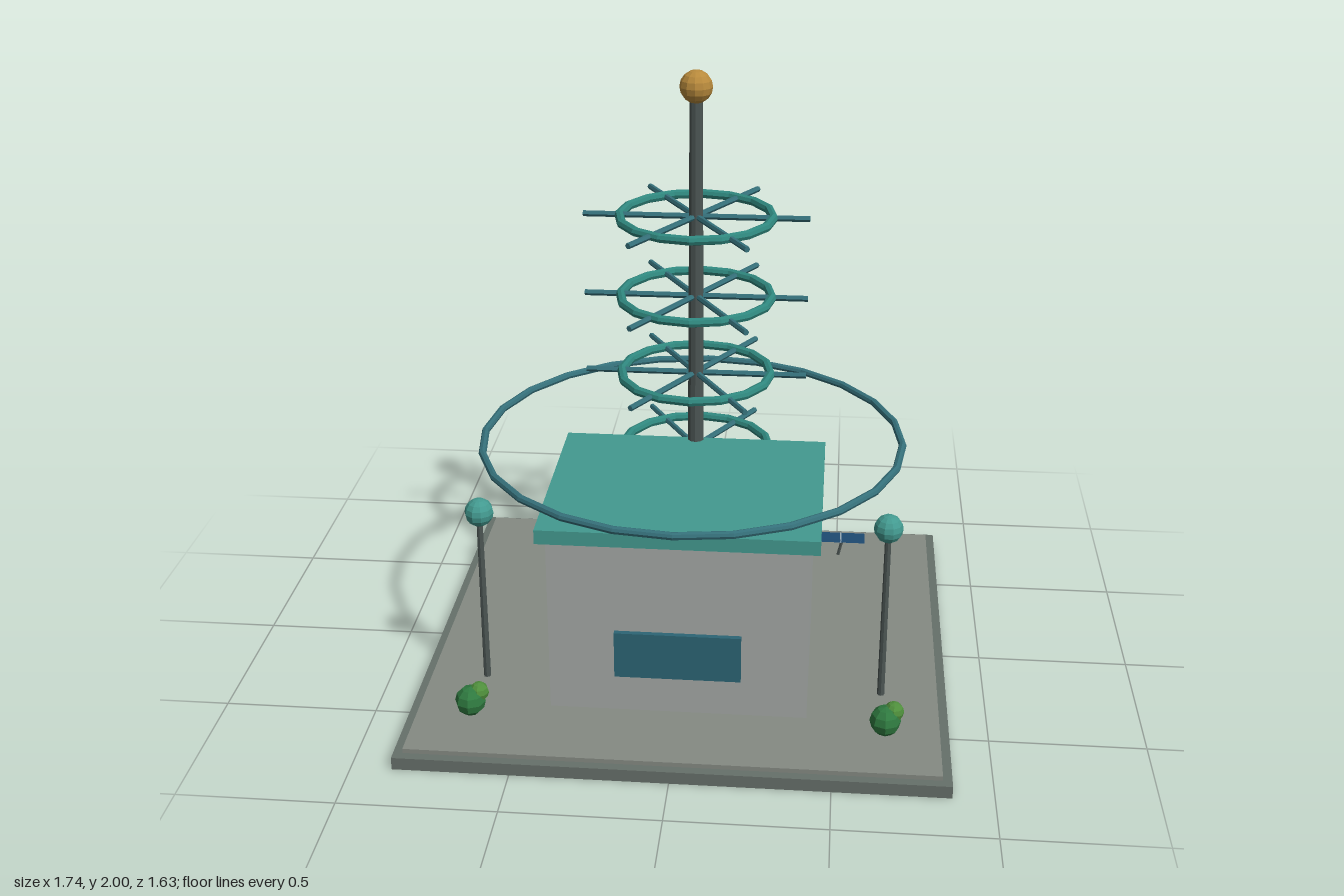
import * as THREE from 'three';

const mat = (color) => new THREE.MeshStandardMaterial({ color, flatShading: true });
const mats = {
  stone: mat(0x66706a), paving: mat(0x858a83), wall: mat(0xa4a9a6), roof: mat(0x439a90),
  glass: mat(0x2c6575), metal: mat(0x4c5654), ring: mat(0x2f877e), spoke: mat(0x35707a),
  gold: mat(0xb88a3c), panel: mat(0x20507a), seam: mat(0x9fb4c0), leaf: mat(0x2f7a40), leafLight: mat(0x4f8f3c),
};

export function createModel() {
  const model = new THREE.Group();
  model.name = 'towerStation';

  const add = (parent, name, geometry, material, x = 0, y = 0, z = 0) => {
    const mesh = new THREE.Mesh(geometry, material);
    mesh.name = name;
    mesh.position.set(x, y, z);
    parent.add(mesh);
    return mesh;
  };
  const group = (name, x, y, z) => {
    const g = new THREE.Group();
    g.name = name;
    g.position.set(x, y, z);
    model.add(g);
    return g;
  };
  const box = (w, h, d) => new THREE.BoxGeometry(w, h, d);
  const ball = (r, w = 12, h = 8) => new THREE.SphereGeometry(r, w, h);
  const rod = (top, bottom, h, sides = 8) => new THREE.CylinderGeometry(top, bottom, h, sides);

  // Stepped base
  add(model, 'base', box(1.74, 0.042, 1.63), mats.stone, 0, 0.021, 0);
  add(model, 'paving', box(1.68, 0.016, 1.57), mats.paving, 0, 0.049, 0);

  // Building
  add(model, 'walls', box(0.83, 0.62, 0.665), mats.wall, 0, 0.365, 0.172);
  add(model, 'roof', box(0.89, 0.048, 0.725), mats.roof, 0, 0.69, 0.172);
  add(model, 'window', box(0.405, 0.16, 0.03), mats.glass, 0, 0.27, 0.507);

  // Mast with ringed spokes
  const mast = group('mast', 0, 0, -0.18);
  add(mast, 'pole', rod(0.022, 0.029, 1.45, 10), mats.metal, 0, 1.185, 0);
  add(mast, 'finial', ball(0.054), mats.gold, 0, 1.945, 0);
  for (let i = 0; i < 4; i++) {
    const tier = new THREE.Group();
    tier.name = 'tier';
    tier.position.y = 0.687 + i * 0.276;
    mast.add(tier);
    add(tier, 'ring', new THREE.TorusGeometry(0.253, 0.016, 8, 16), mats.ring).rotation.x = Math.PI / 2;
    for (let k = 0; k < 3; k++) {
      const spoke = add(tier, 'spoke', rod(0.01, 0.01, 0.745, 6), mats.spoke);
      spoke.rotation.set(0, (k * Math.PI) / 3, Math.PI / 2);
    }
  }

  // Wide ring above the roof
  add(model, 'largeRing', new THREE.TorusGeometry(0.702, 0.013, 8, 24), mats.spoke, 0, 0.782, -0.04)
    .rotation.x = Math.PI / 2;

  for (const side of [-1, 1]) {
    // Lamp
    const lamp = group('lamp', side * 0.655, 0, 0.343);
    add(lamp, 'lampPost', rod(0.01, 0.012, 0.6), mats.metal, 0, 0.355, 0);
    add(lamp, 'lampGlobe', ball(0.047, 10, 8), mats.roof, 0, 0.67, 0);

    // Shrub
    const shrub = group('shrub', side * 0.665, 0, 0.568);
    add(shrub, 'foliage', ball(0.05, 8, 6), mats.leaf, 0, 0.105, 0);
    add(shrub, 'smallFoliage', ball(0.033, 8, 6), mats.leafLight, 0.026, 0.131, -0.013);

    // Tilted solar panel
    const solar = group('solarPanel', side * 0.512, 0.184, -0.496);
    add(solar, 'panelPost', rod(0.006, 0.006, 0.07, 6), mats.metal, 0, -0.036, 0).rotation.z = -0.22;
    const top = new THREE.Group();
    top.name = 'panelTop';
    top.rotation.x = -0.28;
    solar.add(top);
    add(top, 'panel', box(0.175, 0.012, 0.118), mats.panel);
    add(top, 'panelSeam', box(0.005, 0.014, 0.118), mats.seam);
  }
  return model;
}
